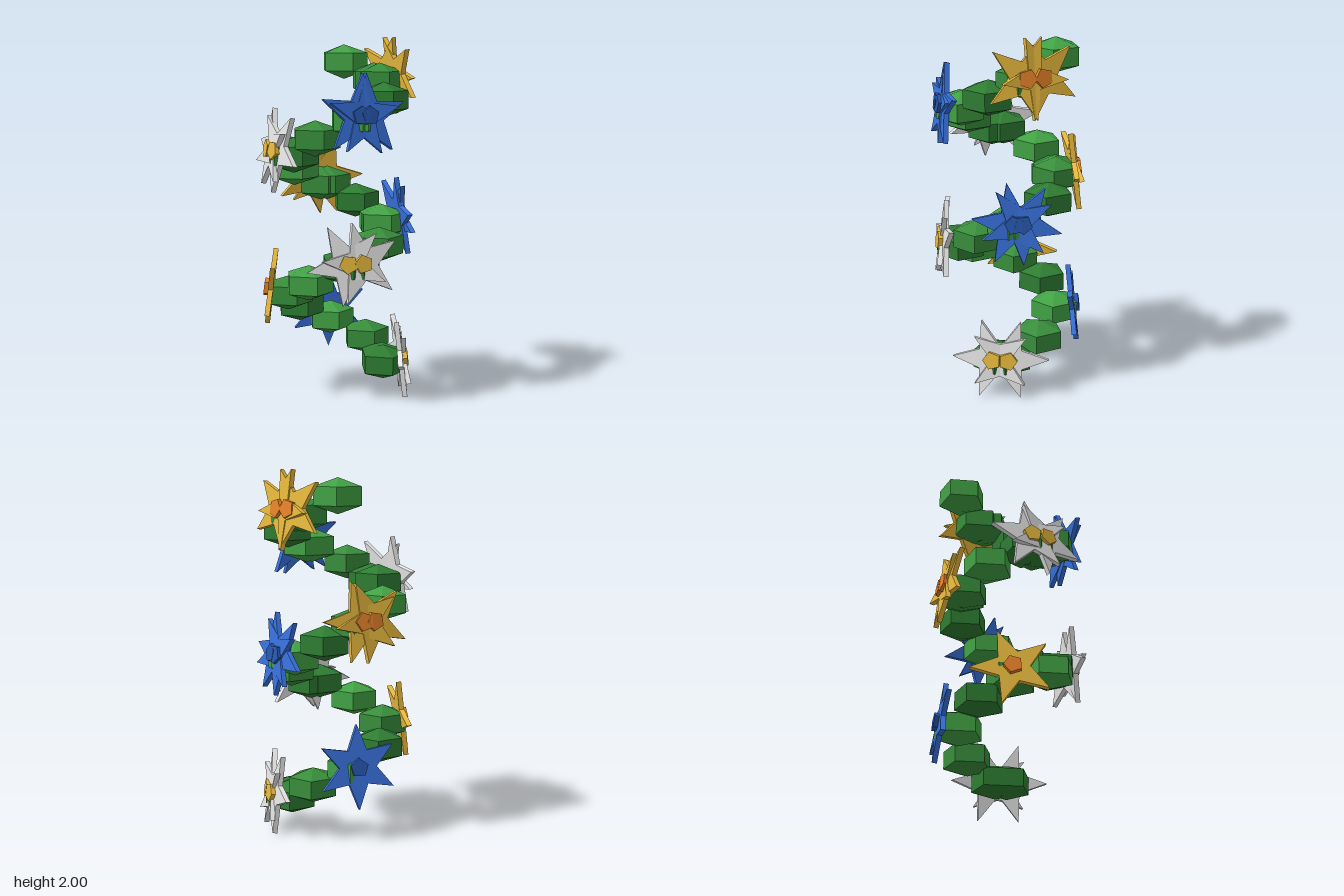
import * as THREE from 'three';

const rad = THREE.MathUtils.degToRad;

function material(name, color) {
  const m = new THREE.MeshStandardMaterial({ color });
  m.name = name;
  return m;
}

// Separate the faces so that every facet is flat
function faceted(geometry) {
  const g = geometry.index ? geometry.toNonIndexed() : geometry;
  g.computeVertexNormals();
  return g;
}

// Flat star of the given thickness, first tip along +x
function starGeometry(points, outer = 0.226, inner = 0.092, depth = 0.028) {
  const shape = new THREE.Shape();
  for (let i = 0; i < points * 2; i++) {
    const a = (i * Math.PI) / points;
    const r = i % 2 ? inner : outer;
    if (i) shape.lineTo(r * Math.cos(a), r * Math.sin(a));
    else shape.moveTo(r, 0);
  }
  shape.closePath();
  const g = new THREE.ExtrudeGeometry(shape, { depth, bevelEnabled: false });
  return faceted(g.translate(0, 0, -depth / 2));
}

export function createModel() {
  const model = new THREE.Group();
  model.name = 'floweringVine';

  const greens = [
    material('dark leaf green', 0x2e7d32),
    material('leaf green', 0x388e3c),
    material('light leaf green', 0x42a345),
  ];
  const white = material('petal white', 0xeeeeee);
  const blue = material('petal blue', 0x3871dc);
  const darkBlue = material('center blue', 0x2858b0);
  const yellow = material('golden yellow', 0xecbd3e);
  const orange = material('center orange', 0xe8832a);

  // Five-sided leaf clump with pointed caps
  const profile = [[0, -0.097], [0.135, -0.05], [0.135, 0.05], [0, 0.097]];
  const clumpGeometry = faceted(
    new THREE.LatheGeometry(profile.map(([x, y]) => new THREE.Vector2(x, y)), 5)
      .rotateY(Math.PI / 2));

  const step = 46.9;
  const height = (i) => 0.19 + i * 0.0983;
  function addClump(i, offset) {
    const a = rad(i * step + offset);
    const clump = new THREE.Mesh(clumpGeometry, greens[i % 3]);
    clump.name = 'leafClump' + (i + 1);
    clump.position.set(0.265 * Math.cos(a), height(i), -0.265 * Math.sin(a));
    model.add(clump);
  }

  // Bare clumps between the flowering ones, with their angle offsets
  [0, -2, -2, 0, 0, -7, -8, 0, 0].forEach((offset, k) => addClump(2 * k + 1, offset));

  const stars = { 5: starGeometry(5), 6: starGeometry(6, 0.23, 0.105) };
  const centerGeometry = faceted(
    new THREE.CylinderGeometry(0.052, 0.052, 0.05, 5).rotateX(Math.PI / 2));
  const kinds = [[white, yellow], [blue, darkBlue], [yellow, orange]];

  // Flowering clumps, single or doubled: [angle offset, roll, points] in degrees
  const blossoms = [
    [[-6.5, 180, 5], [6.5, 0, 5]],
    [[0, 90, 6]],
    [[-11, 111, 5]],
    [[-5, 190, 5], [7, 30, 5]],
    [[-4, 171, 5], [3, -17, 5]],
    [[-11, 106, 5], [-2, -29, 5]],
    [[-10, 170, 5], [4, -18, 5]],
    [[-10, 156, 5], [-3, 18, 5]],
    [[-9, 212, 5], [4, 112, 5]],
  ];
  blossoms.forEach((group, k) => {
    const [petalMaterial, centerMaterial] = kinds[k % 3];
    group.forEach(([offset, roll, points], j) => {
      addClump(2 * k, offset);
      const a = rad(2 * k * step + offset);
      const flower = new THREE.Group();
      flower.name = `flower${k + 1}${j ? 'Right' : 'Left'}`;
      flower.position.set(0.364 * Math.cos(a), height(2 * k) + 0.028, -0.364 * Math.sin(a));
      // Face outward and slightly upward
      flower.rotation.set(-0.12, a + Math.PI / 2, 0, 'YXZ');

      const petals = new THREE.Mesh(stars[points], petalMaterial);
      petals.name = 'petals';
      petals.rotation.z = rad(roll);
      const center = new THREE.Mesh(centerGeometry, centerMaterial);
      center.name = 'flowerCenter';
      center.position.z = 0.014;
      center.rotation.z = rad(roll + 18);
      flower.add(petals, center);
      model.add(flower);
    });
  });

  return model;
}
